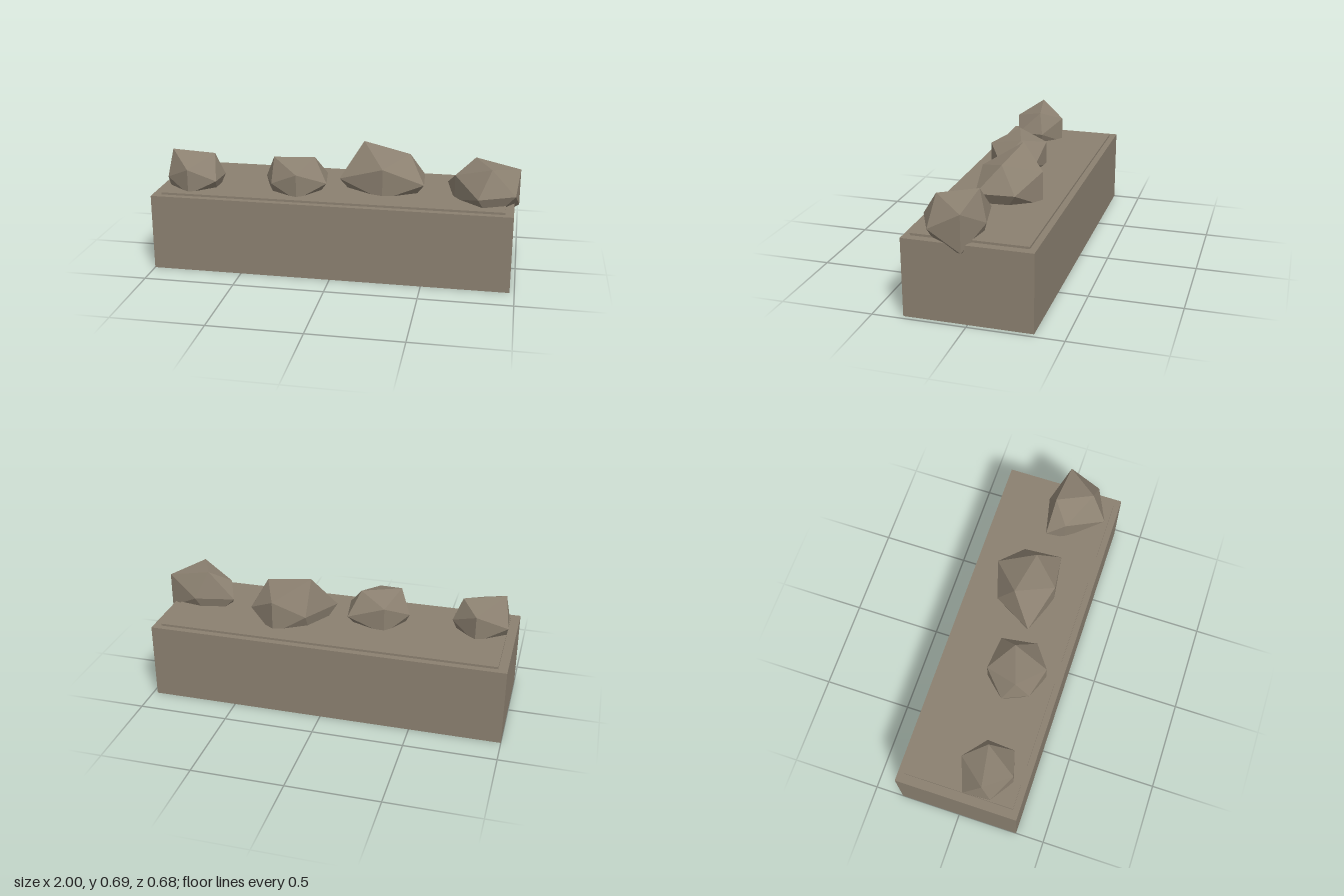
import * as THREE from 'three';

const stone = new THREE.MeshStandardMaterial({ color: 0x8b8070 });
stone.name = 'stone';

// Twenty triangles joining the twelve corners of a boulder
const FACES = [
  0, 11, 5, 0, 5, 1, 0, 1, 7, 0, 7, 10, 0, 10, 11,
  1, 5, 9, 5, 11, 4, 11, 10, 2, 10, 7, 6, 7, 1, 8,
  3, 9, 4, 3, 4, 2, 3, 2, 6, 3, 6, 8, 3, 8, 9,
  4, 9, 5, 2, 4, 11, 6, 2, 10, 8, 6, 7, 9, 8, 1,
];

function box(name, x0, x1, y0, y1, halfDepth) {
  const mesh = new THREE.Mesh(new THREE.BoxGeometry(x1 - x0, y1 - y0, halfDepth * 2), stone);
  mesh.position.set((x0 + x1) / 2, (y0 + y1) / 2, 0);
  mesh.name = name;
  return mesh;
}

// Irregular twenty-sided rock: ridge (2 points), front and back shoulders,
// and a waist of 4 [x, z] points. The underside mirrors the top about the waist.
function boulder(name, waistY, [ridgeA, ridgeB], [front, back], waist) {
  const under = ([x, y, z]) => [x, 2 * waistY - y, z];
  const corners = [
    ridgeA, ridgeB, under(ridgeA), under(ridgeB),
    under(front), front, under(back), back,
    ...waist.map(([x, z]) => [x, waistY, z]),
  ];
  const positions = FACES.flatMap((i) => corners[i]);
  const geometry = new THREE.BufferGeometry();
  geometry.setAttribute('position', new THREE.Float32BufferAttribute(positions, 3));
  geometry.computeVertexNormals(); // unshared corners give flat facets
  const mesh = new THREE.Mesh(geometry, stone);
  mesh.name = name;
  return mesh;
}

export function createModel() {
  const model = new THREE.Group();
  model.name = 'stoneBlockWithBoulders';

  // Block with a slightly raised inset slab on top
  model.add(box('block', -1, 0.975, 0, 0.425, 0.34));
  model.add(box('topSlab', -0.95, 0.93, 0.415, 0.437, 0.305));

  // Boulders sunk into the slab, from right to left
  model.add(boulder('farRightBoulder', 0.49,
    [[-0.93, 0.64, 0.13], [-0.7, 0.615, 0.09]],
    [[-0.81, 0.56, 0.263], [-0.79, 0.565, -0.03]],
    [[-0.65, 0.065], [-0.66, 0.22], [-0.96, 0.03], [-0.95, 0.18]]));
  model.add(boulder('midRightBoulder', 0.49,
    [[-0.35, 0.62, 0.12], [-0.135, 0.61, 0.05]],
    [[-0.2, 0.56, 0.25], [-0.29, 0.565, -0.06]],
    [[-0.08, -0.05], [-0.05, 0.15], [-0.41, 0.06], [-0.35, 0.2]]));
  model.add(boulder('largeBoulder', 0.5,
    [[0.13, 0.69, -0.043], [0.395, 0.64, 0]],
    [[0.26, 0.585, 0.15], [0.31, 0.595, -0.2]],
    [[0.47, -0.093], [0.485, 0.12], [0.135, -0.145], [0.01, 0.075]]));
  // This one is turned a quarter and overhangs the left end
  model.add(boulder('overhangingBoulder', 0.49,
    [[0.755, 0.64, 0], [0.85, 0.63, 0.192]],
    [[0.65, 0.56, 0.09], [1, 0.59, 0.018]],
    [[0.98, 0.197], [0.785, 0.288], [0.825, -0.057], [0.605, -0.01]]));

  return model;
}
